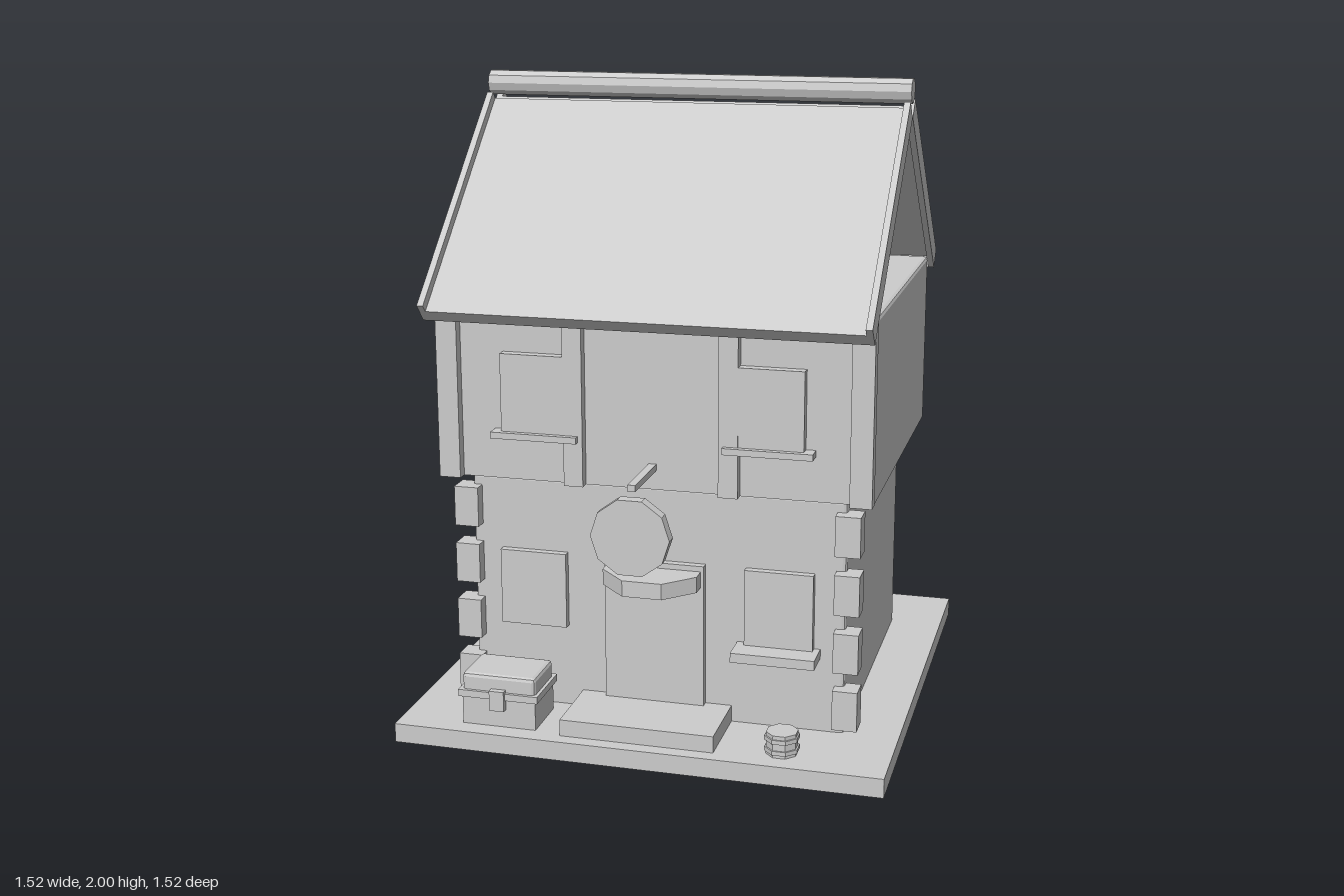
import * as THREE from 'three';
import { RoundedBoxGeometry } from 'three/addons/geometries/RoundedBoxGeometry.js';

const stone = new THREE.MeshStandardMaterial({ color: 0xcccccc, flatShading: true, side: THREE.DoubleSide });
stone.name = 'plain grey';

export function createModel() {
  const model = new THREE.Group();
  model.name = 'house';

  const add = (name, geometry, x = 0, y = 0, z = 0, parent = model) => {
    const mesh = new THREE.Mesh(geometry, stone);
    mesh.name = name;
    mesh.position.set(x, y, z);
    parent.add(mesh);
    return mesh;
  };

  // Box given by its limits on each axis
  const box = (name, [x0, x1], [y0, y1], [z0, z1], parent) =>
    add(name, new THREE.BoxGeometry(x1 - x0, y1 - y0, z1 - z0),
      (x0 + x1) / 2, (y0 + y1) / 2, (z0 + z1) / 2, parent);

  // Removes downward faces, leaving a hollow shell open underneath
  const openBelow = (geometry) => {
    const g = geometry.index ? geometry.toNonIndexed() : geometry;
    const p = g.attributes.position;
    const kept = [];
    const tri = new THREE.Triangle();
    const n = new THREE.Vector3();
    for (let i = 0; i < p.count; i += 3) {
      tri.setFromAttributeAndIndices(p, i, i + 1, i + 2);
      if (tri.getNormal(n).y < -0.3) continue;
      for (const v of [tri.a, tri.b, tri.c]) kept.push(v.x, v.y, v.z);
    }
    const out = new THREE.BufferGeometry();
    out.setAttribute('position', new THREE.Float32BufferAttribute(kept, 3));
    out.computeVertexNormals();
    return out;
  };

  // Storey with chamfered edges and no floor
  const bevel = 0.012;
  const storey = (name, halfX, [y0, y1], [z0, z1]) =>
    add(name, openBelow(new RoundedBoxGeometry(halfX * 2, y1 - y0 + bevel, z1 - z0, 1, bevel)),
      0, (y0 + y1 - bevel) / 2, (z0 + z1) / 2);

  // Ground slab and the two storeys
  add('groundSlab', openBelow(new THREE.BoxGeometry(1.52, 0.06, 1.52)), 0, 0.03, 0);
  storey('lowerStorey', 0.59, [0.06, 0.8], [-0.512, 0.48]);
  storey('upperStorey', 0.67, [0.8, 1.36], [-0.555, 0.512]);

  // Mirrored details on the front
  for (const s of [-1, 1]) {
    const span = (a, b) => (s > 0 ? [a, b] : [-b, -a]);
    for (let i = 0; i < 4; i++) {
      const y = 0.148 + i * 0.184;
      box('cornerStone', span(0.56, 0.637), [y - 0.063, y + 0.063], [0.447, 0.52]);
    }
    box('cornerPost', span(0.605, 0.672), [0.8, 1.36], [0.5, 0.545]);
    box('wallStud', span(0.21, 0.27), [0.8, 1.36], [0.5, 0.545]);
    box('upperWindow', span(0.25, 0.468), [0.955, 1.2], [0.5, 0.544]);
    box('upperSill', span(0.225, 0.498), [0.938, 0.958], [0.5, 0.562]);
    box('lowerWindow', span(0.283, 0.495), [0.325, 0.565], [0.47, 0.505]);
  }
  box('lowerSill', [0.257, 0.515], [0.295, 0.325], [0.47, 0.578]);

  // Door, step and faceted canopy
  box('door', [-0.157, 0.157], [0.1, 0.565], [0.47, 0.505]);
  box('doorStep', [-0.24, 0.24], [0.055, 0.112], [0.47, 0.715]);
  add('doorCanopy', new THREE.CylinderGeometry(0.16, 0.16, 0.05, 8).rotateY(Math.PI / 8), 0, 0.523, 0.492);

  // Hanging round sign
  box('signBracket', [-0.012, 0.012], [0.86, 0.88], [0.5, 0.737]);
  add('roundSign', new THREE.CylinderGeometry(0.12, 0.12, 0.038, 10)
    .rotateY(Math.PI / 2).rotateX(Math.PI / 2), 0, 0.725, 0.74);

  // Roof: two tilted panels, each with an edge board at both ends
  const ridgeZ = -0.018;
  const length = 0.85;
  for (const s of [-1, 1]) {
    const slope = new THREE.Group();
    slope.name = s > 0 ? 'frontRoof' : 'backRoof';
    // Group origin is the lower inner corner; local -z runs up the slope
    slope.position.set(0, 1.305, ridgeZ + s * 0.63);
    slope.rotation.order = 'YXZ';
    slope.rotation.set(THREE.MathUtils.degToRad(42.4), s > 0 ? 0 : Math.PI, 0);
    add('roofPanel', openBelow(new THREE.BoxGeometry(1.33, 0.045, length)), 0, 0.0225, -length / 2, slope);
    for (const e of [-1, 1]) {
      box('edgeBoard', e > 0 ? [0.66, 0.68] : [-0.68, -0.66], [0, 0.072], [-length, 0], slope);
    }
    model.add(slope);
  }
  add('ridgePole', new THREE.CylinderGeometry(0.04, 0.04, 1.36, 10).rotateZ(Math.PI / 2), 0, 1.96, ridgeZ);

  // Chest
  add('chestBody', new THREE.BoxGeometry(0.235, 0.1, 0.17), -0.441, 0.11, 0.613);
  add('chestLid', new RoundedBoxGeometry(0.235, 0.075, 0.17, 1, 0.012), -0.441, 0.188, 0.613);
  add('chestBand', new THREE.BoxGeometry(0.255, 0.022, 0.19), -0.441, 0.162, 0.613);
  box('chestLatch', [-0.465, -0.418], [0.118, 0.182], [0.69, 0.718]);

  // Small barrel with two hoops
  const barrel = (name, r, y0, y1) =>
    add(name, new THREE.CylinderGeometry(r, r, y1 - y0, 8).rotateY(Math.PI / 8), 0.437, (y0 + y1) / 2, 0.657);
  barrel('barrel', 0.049, 0.055, 0.13);
  barrel('barrelHoop', 0.054, 0.07, 0.083);
  barrel('barrelHoop', 0.054, 0.105, 0.118);

  return model;
}
